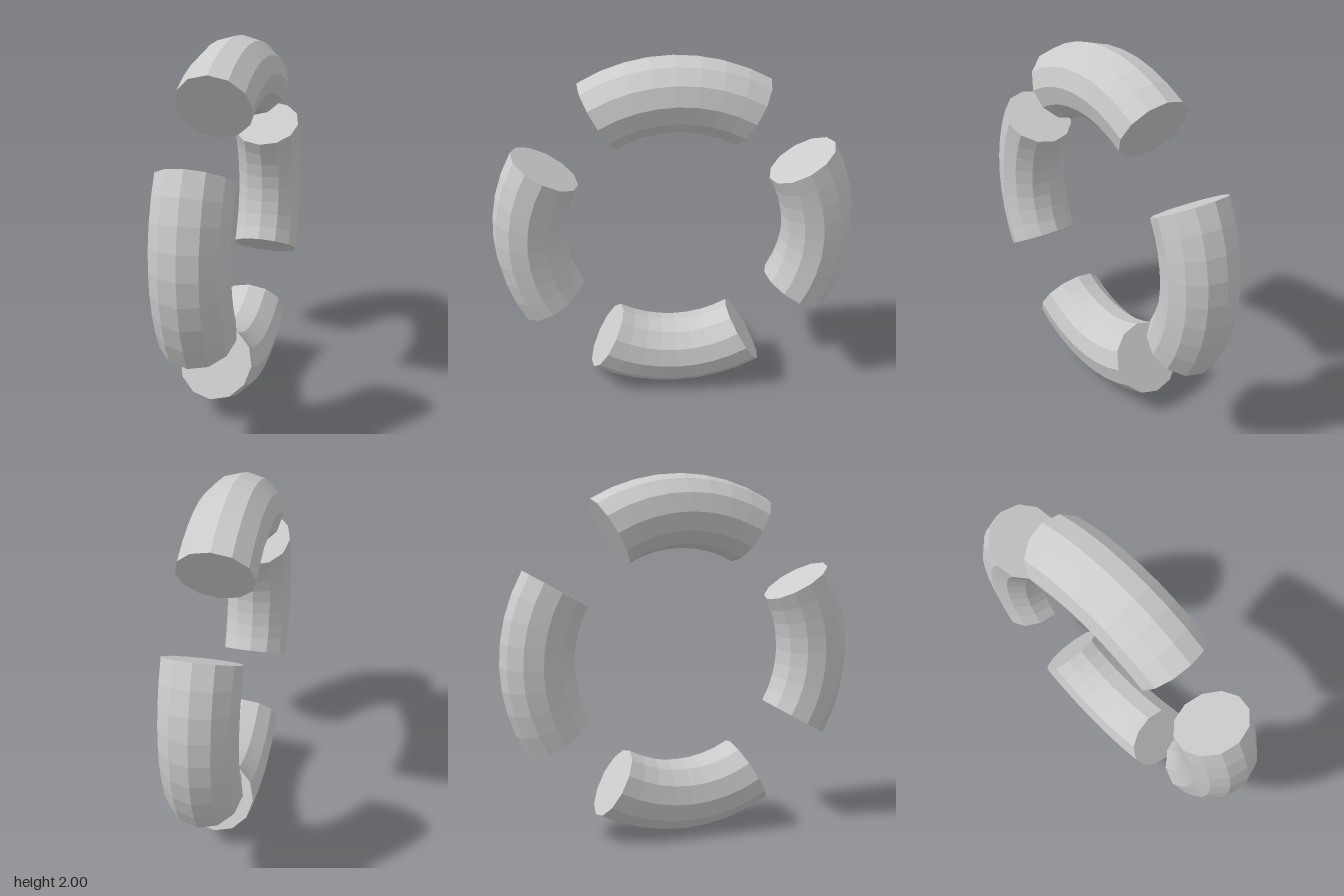
import * as THREE from 'three';
import { mergeGeometries } from 'three/addons/utils/BufferGeometryUtils.js';

const RING = 0.8, TUBE = 0.2, SIDES = 12, STEPS = 8, ARC = Math.PI / 3;

// One capped slice of a ring, centred on the +x direction
function ringSlice() {
  const tube = new THREE.TorusGeometry(RING, TUBE, SIDES, STEPS, ARC);
  const startCap = new THREE.CircleGeometry(TUBE, SIDES).rotateX(Math.PI / 2).translate(RING, 0, 0);
  const endCap = new THREE.CircleGeometry(TUBE, SIDES).rotateX(-Math.PI / 2).translate(RING, 0, 0).rotateZ(ARC);
  return mergeGeometries([tube, startCap, endCap]).rotateZ(-ARC / 2);
}

export function createModel() {
  const group = new THREE.Group();
  group.name = 'segmentedRing';
  const material = new THREE.MeshStandardMaterial({ color: 0xcccccc, flatShading: true });

  // Four slices a quarter turn apart, standing in the YZ plane
  ['frontSegment', 'topSegment', 'backSegment', 'bottomSegment'].forEach((name, i) => {
    const geometry = ringSlice().rotateZ(i * Math.PI / 2).rotateY(-Math.PI / 2);
    const mesh = new THREE.Mesh(geometry, material);
    mesh.name = name;
    mesh.position.y = 1;
    group.add(mesh);
  });
  return group;
}
